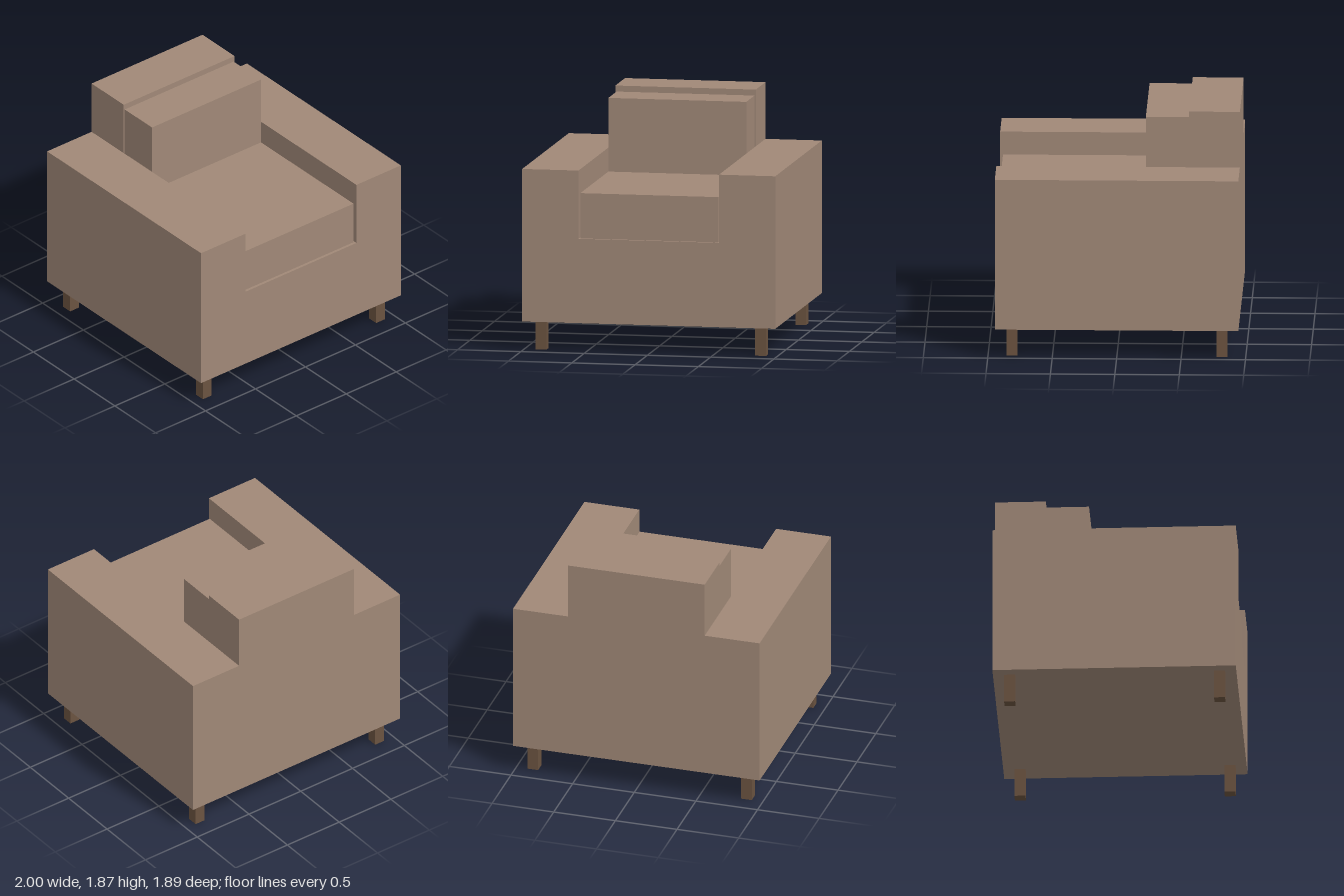
import * as THREE from 'three';

export function createModel() {
  const group = new THREE.Group();
  group.name = 'armchair';
  const fabric = new THREE.MeshStandardMaterial({ color: 0xa08877 });
  fabric.name = 'taupe fabric';
  const wood = new THREE.MeshStandardMaterial({ color: 0x6b5340 });
  wood.name = 'dark wood';

  // Box given by its lower and upper corners
  function box(name, material, [x0, y0, z0], [x1, y1, z1]) {
    const mesh = new THREE.Mesh(new THREE.BoxGeometry(x1 - x0, y1 - y0, z1 - z0), material);
    mesh.position.set((x0 + x1) / 2, (y0 + y1) / 2, (z0 + z1) / 2);
    mesh.name = name;
    group.add(mesh);
  }

  const depth = 0.945, inner = 0.555, floorY = 0.228, seatY = 0.89, armY = 1.425;

  // Base and both arms as one U-shaped profile
  const profile = new THREE.Shape([
    [-1, floorY], [1, floorY], [1, armY], [inner, armY],
    [inner, seatY], [-inner, seatY], [-inner, armY], [-1, armY],
  ].map(([x, y]) => new THREE.Vector2(x, y)));
  const frameGeometry = new THREE.ExtrudeGeometry(profile, { depth: depth * 2, bevelEnabled: false });
  frameGeometry.translate(0, 0, -depth);
  const frame = new THREE.Mesh(frameGeometry, fabric);
  frame.name = 'baseAndArms';
  group.add(frame);

  // Backrest and loose cushions
  box('backrest', fabric, [-inner, seatY, -depth], [inner, 1.87, -0.55]);
  box('seatCushion', fabric, [-0.545, seatY, -0.55], [0.545, 1.245, 0.922]);
  box('backCushion', fabric, [-0.545, 1.245, -0.55], [0.545, 1.823, -0.215]);

  // Four square legs
  for (const sx of [-1, 1]) {
    for (const sz of [-1, 1]) {
      const x = sx * 0.867, z = sz * 0.815, h = 0.043;
      const name = (sz > 0 ? 'front' : 'back') + (sx > 0 ? 'Left' : 'Right') + 'Leg';
      box(name, wood, [x - h, 0, z - h], [x + h, floorY, z + h]);
    }
  }
  return group;
}
